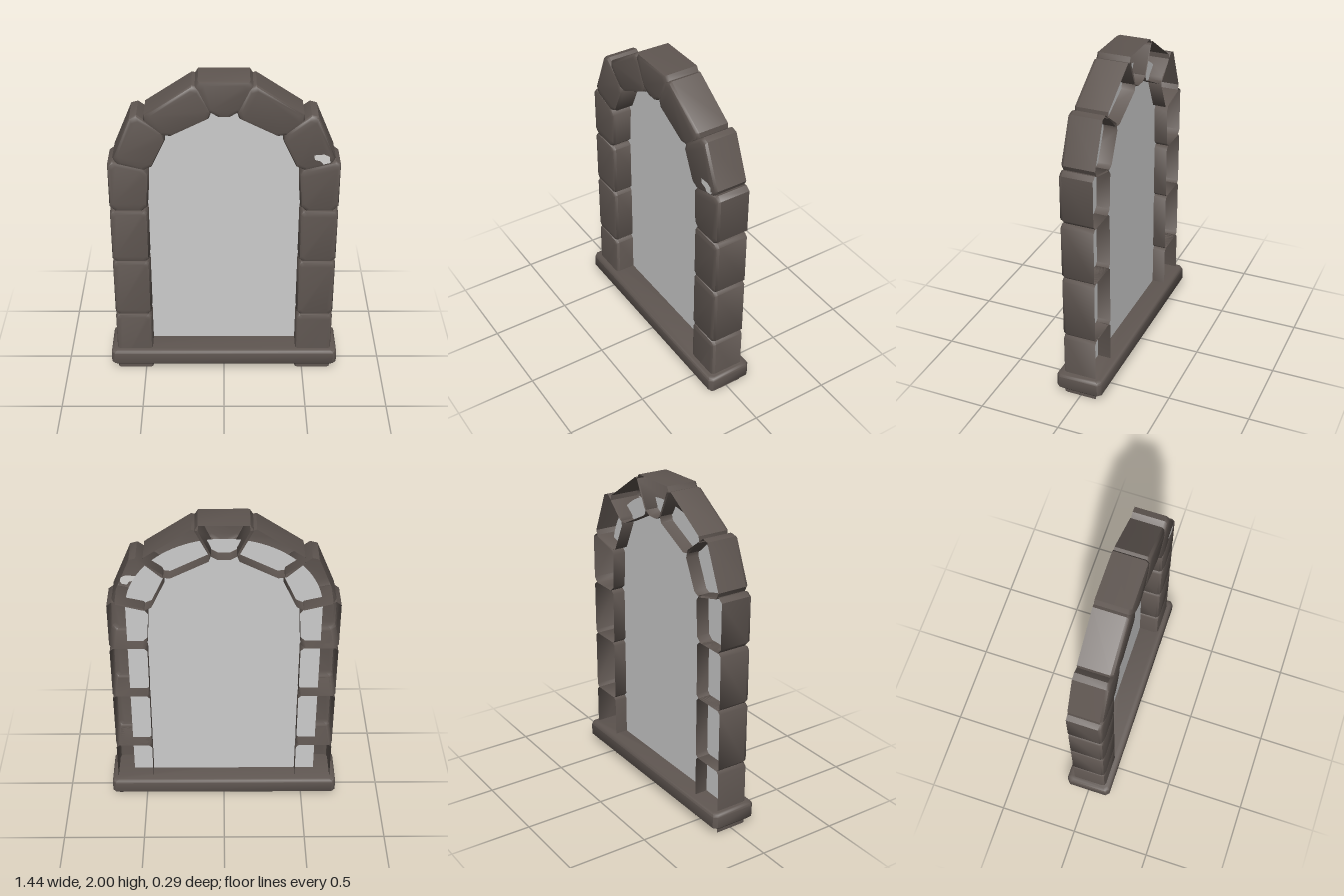
import * as THREE from 'three';
import { toCreasedNormals } from 'three/addons/utils/BufferGeometryUtils.js';

const stone = new THREE.MeshStandardMaterial({ color: 0x5f5651, side: THREE.DoubleSide });
stone.name = 'brown stone';
const glass = new THREE.MeshStandardMaterial({ color: 0xcccccc, side: THREE.DoubleSide });
glass.name = 'grey glass';
const pale = new THREE.MeshStandardMaterial({ color: 0xd6d5d3, side: THREE.DoubleSide });
pale.name = 'pale patch';

// Moves the edges of a counter-clockwise quad inwards, then cuts its corners
function outline(quad, inset, cut) {
  const p = quad.map(([x, y]) => new THREE.Vector2(x, y));
  const inner = p.map((v, i) => {
    const d0 = v.clone().sub(p[(i + 3) % 4]).normalize();
    const d1 = p[(i + 1) % 4].clone().sub(v).normalize();
    return v.clone().addScaledVector(d1.clone().sub(d0), inset / d0.cross(d1));
  });
  return inner.flatMap((v, i) => [inner[(i + 3) % 4], inner[(i + 1) % 4]].map((n) =>
    v.clone().add(n.clone().sub(v).setLength(cut))));
}

// Hollow bevelled block: rings of [inset, height], capped at the last ring only.
// Anything under the floor is cut off, leaving the block open there.
function block(name, quad, rings, cut, floor = -Infinity) {
  const loops = rings.map(([inset, z]) =>
    outline(quad, inset, cut).map((v) => [v.x, Math.max(v.y, floor), z]));
  const n = loops[0].length, pos = [];
  const face = (...corners) => {
    if (corners.some((c) => c[1] > floor)) pos.push(...corners.flat());
  };
  for (let k = 0; k < loops.length - 1; k++) {
    for (let i = 0; i < n; i++) {
      const j = (i + 1) % n;
      const a = loops[k][i], b = loops[k][j], c = loops[k + 1][j], d = loops[k + 1][i];
      face(a, b, c);
      face(a, c, d);
    }
  }
  const top = loops[loops.length - 1];
  for (let i = 1; i < n - 1; i++) face(top[0], top[i], top[i + 1]);
  const geo = new THREE.BufferGeometry();
  geo.setAttribute('position', new THREE.Float32BufferAttribute(pos, 3));
  const mesh = new THREE.Mesh(toCreasedNormals(geo, 0.85), stone);
  mesh.name = name;
  return mesh;
}

const stoneRings = [[0, -0.1], [0, 0.088], [0.006, 0.104], [0.022, 0.11]];
const sillRings = [[0.02, 0.037], [0, 0.057], [0, 0.13], [0.006, 0.144], [0.02, 0.15]];
const rect = (x0, y0, x1, y1) => [[x0, y0], [x1, y0], [x1, y1], [x0, y1]];
const mirror = (quad) => quad.map(([x, y]) => [-x, y]).reverse();

export function createModel() {
  const model = new THREE.Group();
  model.name = 'archedWindow';

  // Jambs and arch stones with their corner cuts, one side then mirrored
  const sideStones = [
    ['jambBase', rect(-0.68, -0.08, -0.455, 0.412), 0.018],
    ['jambLower', rect(-0.68, 0.412, -0.455, 0.808), 0.018],
    ['jambUpper', rect(-0.68, 0.808, -0.455, 1.165), 0.018],
    ['jambTop', [[-0.68, 1.165], [-0.455, 1.165], [-0.44, 1.445], [-0.68, 1.503]], 0.03],
    ['archLower', [[-0.66, 1.49], [-0.435, 1.43], [-0.325, 1.665], [-0.525, 1.812]], 0.033],
    ['archUpper', [[-0.482, 1.778], [-0.335, 1.645], [-0.06, 1.783], [-0.158, 1.993]], 0.03],
  ];
  for (const [name, quad, cut] of sideStones) {
    model.add(block(name + 'Right', quad, stoneRings, cut, 0));
    model.add(block(name + 'Left', mirror(quad), stoneRings, cut, 0));
  }
  model.add(block('keystone',
    [[-0.07, 1.78], [0.07, 1.78], [0.182, 2], [-0.182, 2]], stoneRings, 0.035));

  // Sill, hollow underneath
  const sill = block('sill', rect(-0.718, -0.145, 0.718, 0.145), sillRings, 0.022);
  sill.rotation.x = -Math.PI / 2;
  model.add(sill);

  // Pane set in the middle of the stones' depth
  const shape = new THREE.Shape();
  shape.moveTo(-0.58, 0.015);
  shape.lineTo(0.58, 0.015);
  shape.lineTo(0.58, 1.4);
  shape.absellipse(0, 1.4, 0.58, 0.47, 0, Math.PI, false);
  shape.closePath();
  const pane = new THREE.Mesh(new THREE.ShapeGeometry(shape, 24), glass);
  pane.name = 'pane';
  pane.position.z = -0.017;
  model.add(pane);

  // Small pale patch on one arch stone, on both sides of its front wall
  const patch = new THREE.Shape([[0.52, 1.545], [0.525, 1.515], [0.56, 1.505], [0.575, 1.485],
    [0.615, 1.495], [0.61, 1.535], [0.58, 1.55]].map(([x, y]) => new THREE.Vector2(x, y)));
  for (const [name, z] of [['patchFront', 0.112], ['patchBack', 0.108]]) {
    const mesh = new THREE.Mesh(new THREE.ShapeGeometry(patch), pale);
    mesh.name = name;
    mesh.position.z = z;
    model.add(mesh);
  }

  return model;
}
